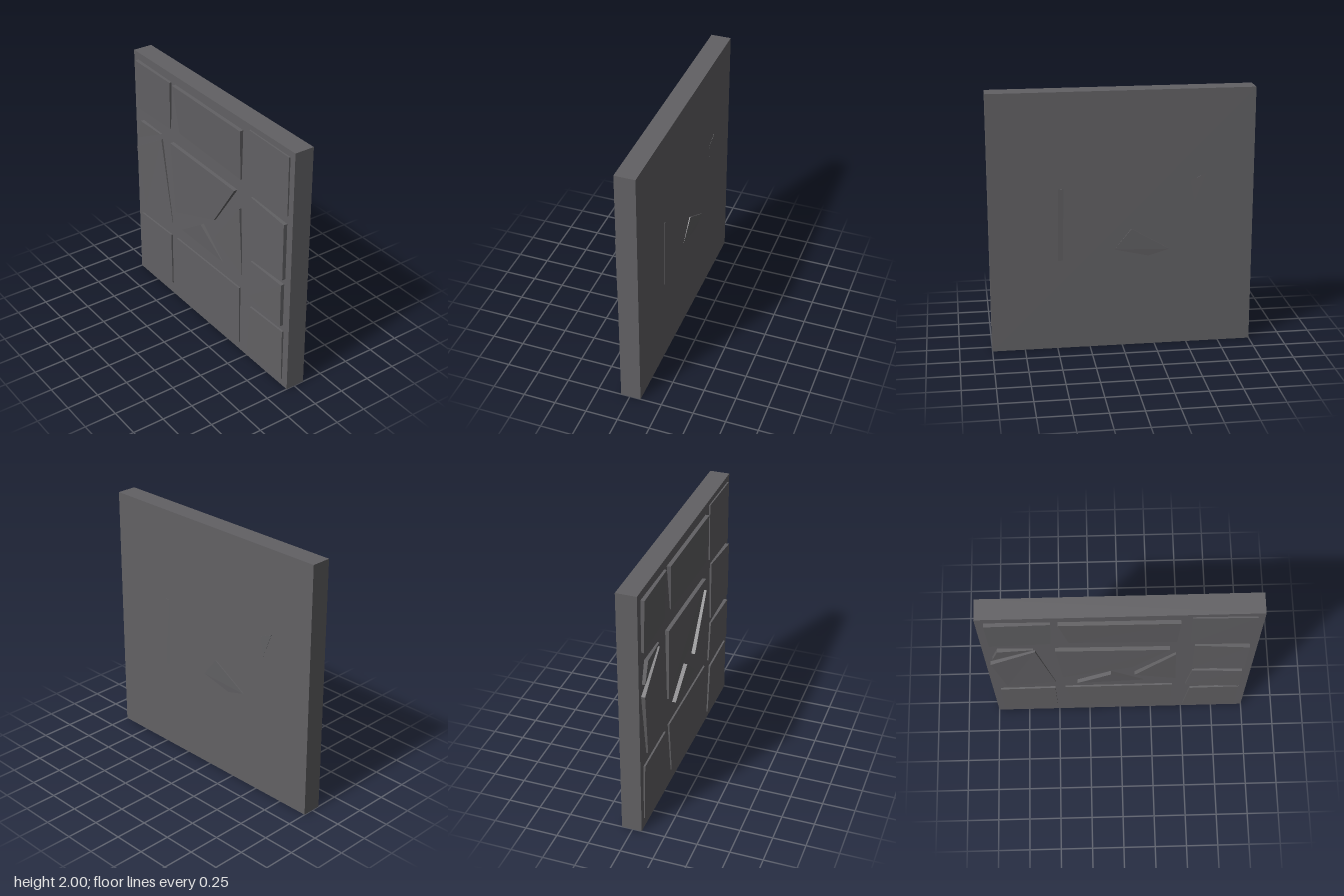
import * as THREE from 'three';

const stone = new THREE.MeshStandardMaterial({ color: 0x626164 });
stone.name = 'stone grey';

// Flat stone standing out from one side of the slab (side -1 or 1).
// Corners are [z, y, distance of the face from x = 0].
function stonePlate(name, side, base, corners) {
  const pts = corners.map(([z, y, h]) => ({ u: -side * z, v: y, h }));
  const shape = new THREE.Shape(pts.map(p => new THREE.Vector2(p.u, p.v)));
  const geo = new THREE.ExtrudeGeometry(shape, { depth: 1, bevelEnabled: false });
  const pos = geo.attributes.position;
  for (let i = 0; i < pos.count; i++) {
    // push each outer corner to its own height so that the stone tilts
    const c = pts.find(p => Math.hypot(p.u - pos.getX(i), p.v - pos.getY(i)) < 1e-4);
    pos.setZ(i, pos.getZ(i) > 0.5 ? c.h : base);
  }
  geo.rotateY(side * Math.PI / 2);
  geo.computeVertexNormals();
  const mesh = new THREE.Mesh(geo, stone);
  mesh.name = name;
  return mesh;
}

export function createModel() {
  const group = new THREE.Group();
  group.name = 'stoneWallPanel';

  // Main slab
  const slab = new THREE.Mesh(new THREE.BoxGeometry(0.155, 2, 2), stone);
  slab.name = 'slab';
  slab.position.set(0.0075, 1, 0);
  group.add(slab);

  // Raised stones on the -x side
  const stones = {
    topBackStone: [[-0.94, 1.94, 0.1], [-0.48, 1.93, 0.09], [-0.5, 1.53, 0.078], [-0.94, 1.53, 0.088]],
    topMiddleStone: [[-0.43, 1.93, 0.1], [0.42, 1.92, 0.1], [0.41, 1.52, 0.08], [-0.37, 1.55, 0.08]],
    topFrontStone: [[0.5, 1.96, 0.08], [0.95, 1.95, 0.082], [0.95, 1.49, 0.08], [0.51, 1.49, 0.08]],
    upperFrontStone: [[0.54, 1.44, 0.084], [0.94, 1.42, 0.1], [0.94, 0.96, 0.098], [0.55, 0.95, 0.082]],
    lowerFrontStone: [[0.55, 0.9, 0.084], [0.93, 0.91, 0.1], [0.93, 0.55, 0.098], [0.51, 0.57, 0.082]],
    bottomFrontStone: [[0.55, 0.49, 0.085], [0.94, 0.5, 0.085], [0.94, 0.06, 0.08], [0.51, 0.06, 0.08]],
    bottomMiddleStone: [[-0.43, 0.58, 0.084], [0.41, 0.58, 0.084], [0.41, 0.07, 0.08], [-0.37, 0.11, 0.08]],
    bottomBackStone: [[-0.94, 0.56, 0.084], [-0.51, 0.57, 0.084], [-0.51, 0.1, 0.08], [-0.95, 0.09, 0.08]],
    smallBackStone: [[-0.89, 1.44, 0.1], [-0.63, 1.43, 0.085], [-0.94, 1.27, 0.095]],
    tallBackStone: [[-0.96, 1.18, 0.1], [-0.62, 1.39, 0.085], [-0.5, 0.69, 0.075], [-0.88, 0.64, 0.085]],
    centreStone: [[-0.47, 1.43, 0.1], [0.36, 1.41, 0.1], [0.09, 1.02, 0.088], [-0.44, 0.82, 0.084]],
    sliverStone: [[0.11, 0.88, 0.1], [0.41, 1.28, 0.09], [0.43, 0.71, 0.075]],
    wedgeStone: [[-0.33, 0.72, 0.1], [-0.07, 0.9, 0.1], [0.18, 0.69, 0.075]],
  };
  for (const [name, corners] of Object.entries(stones)) {
    group.add(stonePlate(name, -1, 0.06, corners));
  }

  // Buried ends of the tilted stones that just break the +x side
  const ends = {
    wedgeStoneEnd: [[-0.36, 0.77, 0.094], [-0.07, 0.94, 0.094], [0.06, 0.78, 0.086], [-0.2, 0.72, 0.086]],
    sliverStoneEnd: [[0.44, 1.27, 0.0855], [0.48, 1.27, 0.089], [0.49, 0.71, 0.089], [0.45, 0.71, 0.0855]],
    tallStoneEnd: [[-0.63, 1.35, 0.088], [-0.52, 1.3, 0.0855], [-0.55, 1.14, 0.0855]],
  };
  for (const [name, corners] of Object.entries(ends)) {
    group.add(stonePlate(name, 1, 0.08, corners));
  }

  // Make every stone outline wind the same way regardless of the corner order
  return group;
}
